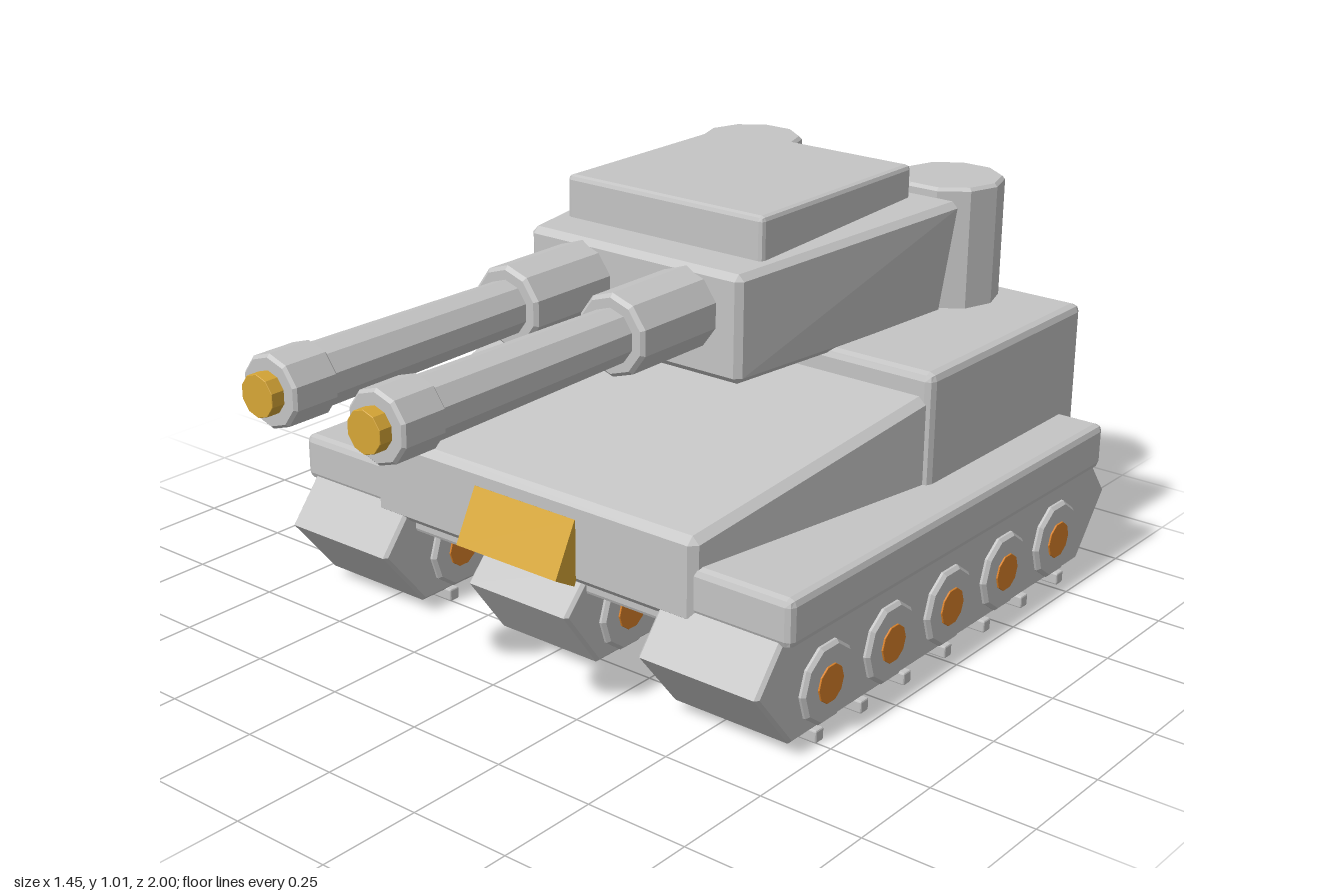
import * as THREE from 'three';
import { RoundedBoxGeometry } from 'three/addons/geometries/RoundedBoxGeometry.js';
import { ConvexGeometry } from 'three/addons/geometries/ConvexGeometry.js';

const material = (name, color) => {
  const m = new THREE.MeshStandardMaterial({ color });
  m.name = name;
  return m;
};

// Faceted normals for the low-poly look
function faceted(geometry) {
  const g = geometry.index ? geometry.toNonIndexed() : geometry;
  g.computeVertexNormals();
  return g;
}

// Box with chamfered edges, given by its limits
function chamferBox(x0, x1, y0, y1, z0, z1, bevel) {
  const g = new RoundedBoxGeometry(x1 - x0, y1 - y0, z1 - z0, 1, bevel);
  g.translate((x0 + x1) / 2, (y0 + y1) / 2, (z0 + z1) / 2);
  return faceted(g);
}

// Ten-sided drum along y from y0 to y1, with chamfered rims
function drum(r0, r1, y0, y1, b) {
  const profile = [[0, y0], [r0 - b, y0], [r0, y0 + b], [r1, y1 - b], [r1 - b, y1], [0, y1]];
  return faceted(new THREE.LatheGeometry(profile.map(([x, y]) => new THREE.Vector2(x, y)), 10));
}

// Chamfered tapering block between two sections: [z, bottom half width, top half width, y0, y1]
function taperBlock(front, back, b) {
  const pts = [];
  const ring = (z, wb, wt, y0, y1, ix, iy) => {
    for (const s of [-1, 1]) {
      pts.push(new THREE.Vector3(s * (wb - ix), y0 + iy, z));
      pts.push(new THREE.Vector3(s * (wt - ix), y1 - iy, z));
    }
  };
  [[front, -b], [back, b]].forEach(([[z, ...s], dz]) => {
    ring(z, ...s, b, b);
    ring(z + dz, ...s, b, 0);
    ring(z + dz, ...s, 0, b);
  });
  return new ConvexGeometry(pts);
}

// Side profile [z, y] extruded across x, centred on x = 0
function sideExtrude(profile, width, bevel) {
  const shape = new THREE.Shape(profile.map(([z, y]) => new THREE.Vector2(z, y)));
  const g = new THREE.ExtrudeGeometry(shape, {
    depth: width - 2 * bevel, bevelEnabled: bevel > 0, bevelThickness: bevel,
    bevelSize: bevel, bevelOffset: -bevel, bevelSegments: 1,
  });
  g.translate(0, 0, -width / 2 + bevel);
  g.rotateY(-Math.PI / 2);
  return faceted(g);
}

export function createModel() {
  const grey = material('grey armour', 0xc4c4c4);
  const gold = material('gold', 0xd6a636);
  const orange = material('orange hub', 0xd98129);

  const model = new THREE.Group();
  model.name = 'tank';
  const add = (name, geometry, mat, parent = model) => {
    const mesh = new THREE.Mesh(geometry, mat);
    mesh.name = name;
    parent.add(mesh);
    return mesh;
  };

  // Hull
  add('chassis', chamferBox(-0.4, 0.4, 0.22, 0.32, -0.93, 0.35, 0.01), grey);
  add('rearHull', chamferBox(-0.61, 0.61, 0.25, 0.66, -0.985, -0.31, 0.02), grey);
  add('frontHull', taperBlock([0.385, 0.48, 0.48, 0.255, 0.46], [-0.36, 0.6, 0.6, 0.255, 0.61], 0.018), grey);
  add('frontLamp', sideExtrude([[0.33, 0.385], [0.39, 0.255], [0.452, 0.29], [0.387, 0.415]], 0.3, 0), gold);

  // Turret, roof hatch and rear stacks
  add('turret', taperBlock([0.015, 0.31, 0.31, 0.655, 0.91], [-0.73, 0.365, 0.405, 0.64, 0.937], 0.015), grey);
  add('roofHatch', chamferBox(-0.287, 0.287, 0.88, 1.016, -0.69, -0.095, 0.012), grey);
  for (const s of [-1, 1]) {
    const stack = add(s > 0 ? 'leftStack' : 'rightStack', drum(0.132, 0.132, 0.64, 0.962, 0.008), grey);
    stack.geometry.rotateY(Math.PI / 2);
    stack.position.set(s * 0.305, 0, -0.84);
  }

  // Twin guns
  for (const s of [-1, 1]) {
    const gun = new THREE.Group();
    gun.name = s > 0 ? 'leftGun' : 'rightGun';
    gun.position.set(s * 0.153, 0.808, 0);
    gun.rotation.x = Math.PI / 2;
    model.add(gun);
    add('sleeve', drum(0.096, 0.096, -0.05, 0.268, 0.009), grey, gun);
    add('barrel', drum(0.064, 0.071, 0.24, 0.87, 0.004), grey, gun);
    add('muzzle', drum(0.081, 0.081, 0.848, 0.968, 0.007), grey, gun);
    add('bore', drum(0.047, 0.047, 0.94, 1.0, 0.001), gold, gun);
  }

  // Track unit with wheels running through it and cleats underneath
  function trackUnit(name, x, { profile, half, wheels, cleats, cleatStart, cleatStep }) {
    const unit = new THREE.Group();
    unit.name = name;
    unit.position.x = x;
    model.add(unit);
    add('track', sideExtrude(profile, half * 2, 0.008), grey, unit);
    for (let i = 0; i < wheels; i++) {
      const wheel = new THREE.Group();
      wheel.name = 'wheel';
      wheel.position.set(0, 0.135, 0.21 - i * 0.24);
      wheel.rotation.z = Math.PI / 2;
      unit.add(wheel);
      add('tyre', drum(0.097, 0.097, -half - 0.014, half + 0.014, 0.008), grey, wheel);
      add('hub', drum(0.046, 0.046, -half - 0.018, half + 0.018, 0.001), orange, wheel);
    }
    for (let i = 0; i < cleats; i++) {
      const z = cleatStart - i * cleatStep;
      add('cleat', chamferBox(-half - 0.012, half + 0.012, 0.005, 0.036, z - 0.015, z + 0.015, 0.004), grey, unit);
    }
  }
  const outer = {
    profile: [[0.33, 0.032], [0.455, 0.185], [0.37, 0.29], [-0.92, 0.29], [-1.0, 0.185], [-0.88, 0.032]],
    half: 0.16, wheels: 5, cleats: 7, cleatStart: 0.24, cleatStep: 0.17,
  };
  const middle = {
    profile: [[0.31, 0.035], [0.42, 0.185], [0.34, 0.27], [-0.68, 0.27], [-0.76, 0.185], [-0.65, 0.035]],
    half: 0.15, wheels: 4, cleats: 5, cleatStart: 0.06, cleatStep: 0.155,
  };
  trackUnit('leftTrack', 0.542, outer);
  trackUnit('rightTrack', -0.542, outer);
  trackUnit('middleTrack', 0, middle);

  // Fenders above the outer tracks
  add('leftFender', chamferBox(0.38, 0.727, 0.275, 0.39, -0.925, 0.375, 0.018), grey);
  add('rightFender', chamferBox(-0.727, -0.38, 0.275, 0.39, -0.925, 0.375, 0.018), grey);

  return model;
}
